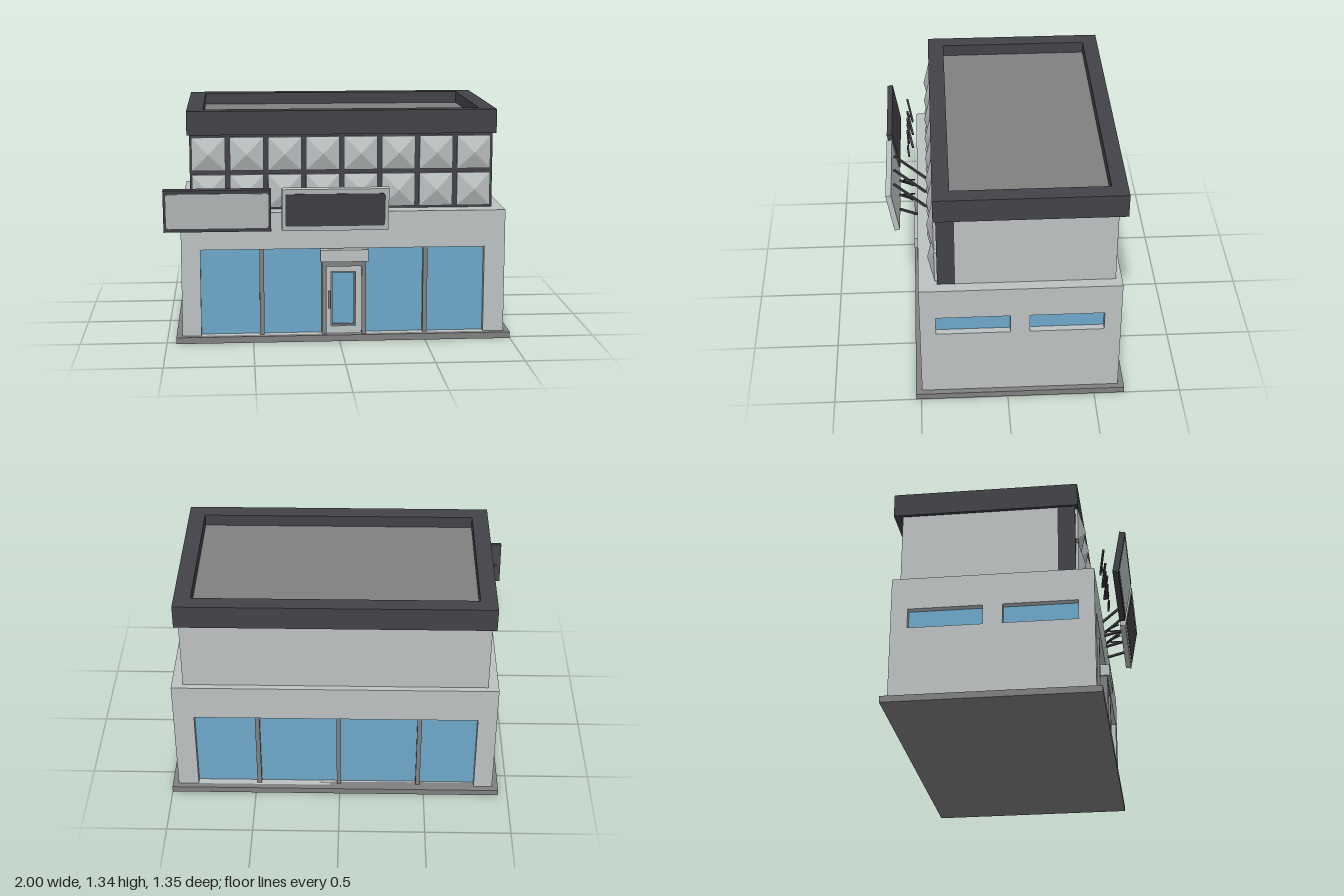
import * as THREE from 'three';

const mat = (name, color) => {
  const m = new THREE.MeshStandardMaterial({ color });
  m.name = name;
  return m;
};

export function createModel() {
  const root = new THREE.Group();
  root.name = 'shopBuilding';
  const light = mat('lightPanel', 0xbcc1c1);
  const grey = mat('midGrey', 0x7f807f);
  const dark = mat('darkTrim', 0x434248);
  const blue = mat('glassBlue', 0x6da8cb);

  const add = (name, geo, m, parent = root) => {
    const mesh = new THREE.Mesh(geo, m);
    mesh.name = name;
    parent.add(mesh);
    return mesh;
  };
  // box from its extents
  const box = (name, m, x0, x1, y0, y1, z0, z1, parent = root) => {
    const b = add(name, new THREE.BoxGeometry(x1 - x0, y1 - y0, z1 - z0), m, parent);
    b.position.set((x0 + x1) / 2, (y0 + y1) / 2, (z0 + z1) / 2);
    return b;
  };
  const rectPoints = ([a0, a1, b0, b1]) =>
    [[a0, b0], [a1, b0], [a1, b1], [a0, b1]].map(p => new THREE.Vector2(...p));
  // flat slab with rectangular openings
  const slab = (outer, holes, depth) => {
    const s = new THREE.Shape(rectPoints(outer));
    holes.forEach(h => s.holes.push(new THREE.Path(rectPoints(h))));
    return new THREE.ExtrudeGeometry(s, { depth, bevelEnabled: false });
  };
  // square bar between two points
  const bar = (name, a, b, r, parent) => {
    const p = new THREE.Vector3(...a), q = new THREE.Vector3(...b);
    const m = add(name, new THREE.BoxGeometry(r, r, p.distanceTo(q)), dark, parent);
    m.position.copy(p).add(q).multiplyScalar(0.5);
    m.lookAt(q);
  };

  // plinth and lower storey
  const X0 = -0.91, X1 = 0.965, Z0 = -0.64, Z1 = 0.495, TOP = 0.76, D = 0.045;
  box('plinth', grey, -0.945, 1, 0, 0.037, -0.675, 0.53);
  box('lowerCore', light, X0 + D, X1 - D, 0.02, TOP, Z0 + D, Z1 - D);
  const shopOpening = [-0.8, 0.845, 0.037, 0.545];
  [['frontWall', Z1 - D], ['backWall', Z0]].forEach(([name, z]) => {
    add(name, slab([X0, X1, 0.02, TOP], [shopOpening], D), light).position.z = z;
  });
  const sideWindows = [[-0.015, 0.405, 0.455, 0.57], [-0.545, -0.125, 0.455, 0.57]];
  [['leftWall', X1], ['rightWall', X0 + D]].forEach(([name, x]) => {
    const g = slab([Z0 + D, Z1 - D, 0.02, TOP], sideWindows, D).rotateY(-Math.PI / 2);
    add(name, g, light).position.x = x;
  });

  // glazing and mullions
  const [wx0, wx1, wy0, wy1] = shopOpening;
  box('frontGlass', blue, wx0, wx1, wy0, wy1, Z1 - D, Z1 - D + 0.005);
  box('backGlass', blue, wx0, wx1, wy0, wy1, Z0 + D - 0.005, Z0 + D);
  sideWindows.forEach(([z0, z1, y0, y1]) => {
    box('sideGlass', blue, X1 - D, X1 - D + 0.005, y0, y1, z0, z1);
    box('sideGlass', blue, X0 + D - 0.005, X0 + D, y0, y1, z0, z1);
  });
  [-0.448, 0.502].forEach(x =>
    box('frontMullion', grey, x - 0.013, x + 0.013, wy0, wy1, Z1 - D, Z1 - 0.01));
  [-0.465, 0.005, 0.48].forEach(x =>
    box('backMullion', grey, x - 0.013, x + 0.013, wy0, wy1, Z0 + 0.01, Z0 + D));

  // entrance
  const door = new THREE.Group();
  door.name = 'entrance';
  root.add(door);
  add('doorFrame', slab([-0.1, 0.155, 0.035, 0.47], [[-0.075, 0.13, 0.037, 0.44]], 0.055), grey, door)
    .position.z = 0.45;
  add('doorLeaf', slab([-0.075, 0.13, 0.037, 0.44], [[-0.047, 0.095, 0.08, 0.405]], 0.033), light, door)
    .position.z = 0.452;
  add('doorTrim', slab([-0.047, 0.095, 0.08, 0.405], [[-0.038, 0.086, 0.09, 0.395]], 0.015), grey, door)
    .position.z = 0.455;
  box('doorGlass', blue, -0.04, 0.088, 0.088, 0.397, 0.455, 0.46, door);
  box('doorHandle', grey, -0.066, -0.052, 0.19, 0.29, 0.485, 0.5, door);
  box('doorCanopy', light, -0.11, 0.167, 0.47, 0.54, 0.45, 0.52, door);

  // upper storey with dark front
  box('upperStorey', light, -0.85, 0.9, TOP, 1.2, -0.605, 0.29);
  box('upperFront', dark, -0.855, 0.9, TOP, 1.2, 0.29, 0.39);

  // pyramid cladding
  const size = 0.193;
  const pyramid = new THREE.ConeGeometry(size * Math.SQRT1_2, 0.036, 4, 1, true)
    .rotateY(Math.PI / 4).rotateX(Math.PI / 2).toNonIndexed();
  pyramid.computeVertexNormals();
  for (let c = 0; c < 8; c++) {
    for (const y of [0.87, 1.087]) {
      const x = -0.747 + c * 0.2195;
      box('claddingBase', light, x - size / 2, x + size / 2, y - size / 2, y + size / 2, 0.388, 0.404);
      add('claddingPyramid', pyramid, light).position.set(x, y, 0.422);
    }
  }

  // roof parapet and deck
  const parapet = slab([-0.87, 0.92, -0.405, 0.655], [[-0.775, 0.825, -0.31, 0.565]], 0.138);
  add('parapet', parapet.rotateX(-Math.PI / 2), dark).position.y = 1.197;
  box('roofDeck', grey, -0.78, 0.83, 1.2, 1.265, -0.57, 0.315);

  // rounded sign face
  const roundedPlate = (w, h, r) => {
    const s = new THREE.Shape(), a = w / 2 - r, b = h / 2 - r;
    s.absarc(a, b, r, 0, Math.PI / 2);
    s.absarc(-a, b, r, Math.PI / 2, Math.PI);
    s.absarc(-a, -b, r, Math.PI, Math.PI * 1.5);
    s.absarc(a, -b, r, Math.PI * 1.5, Math.PI * 2);
    return new THREE.ExtrudeGeometry(s, { depth: 0.004, bevelEnabled: false, curveSegments: 4 });
  };

  // tilted signs on lattice brackets
  [[-0.6975, dark, light, 0.575, 0.206], [-0.0325, light, dark, 0.565, 0.194]].forEach(([cx, frame, face, w, h]) => {
    const sign = new THREE.Group();
    sign.name = 'sign';
    sign.position.set(cx, 0, 0);
    root.add(sign);
    const board = new THREE.Group();
    board.name = 'signBoard';
    board.position.set(0, 0.804, 0.638);
    board.rotation.x = 0.178;
    sign.add(board);
    box('signFrame', frame, -0.3025, 0.3025, -0.1245, 0.1245, -0.0165, 0.0165, board);
    add('signFace', roundedPlate(w, h, 0.015), face, board).position.z = 0.0145;

    const xs = [-0.152, 0, 0.152];
    xs.forEach(x => {
      bar('upperStrut', [x, 0.89, 0.635], [x, 0.757, 0.434], 0.012, sign);
      bar('lowerStrut', [x, 0.707, 0.608], [x, 0.707, 0.49], 0.012, sign);
    });
    for (let i = 0; i < 2; i++) {
      bar('crossBrace', [xs[i], 0.707, 0.505], [xs[i + 1], 0.855, 0.58], 0.008, sign);
      bar('crossBrace', [xs[i], 0.707, 0.593], [xs[i + 1], 0.81, 0.51], 0.008, sign);
    }
  });

  return root;
}
